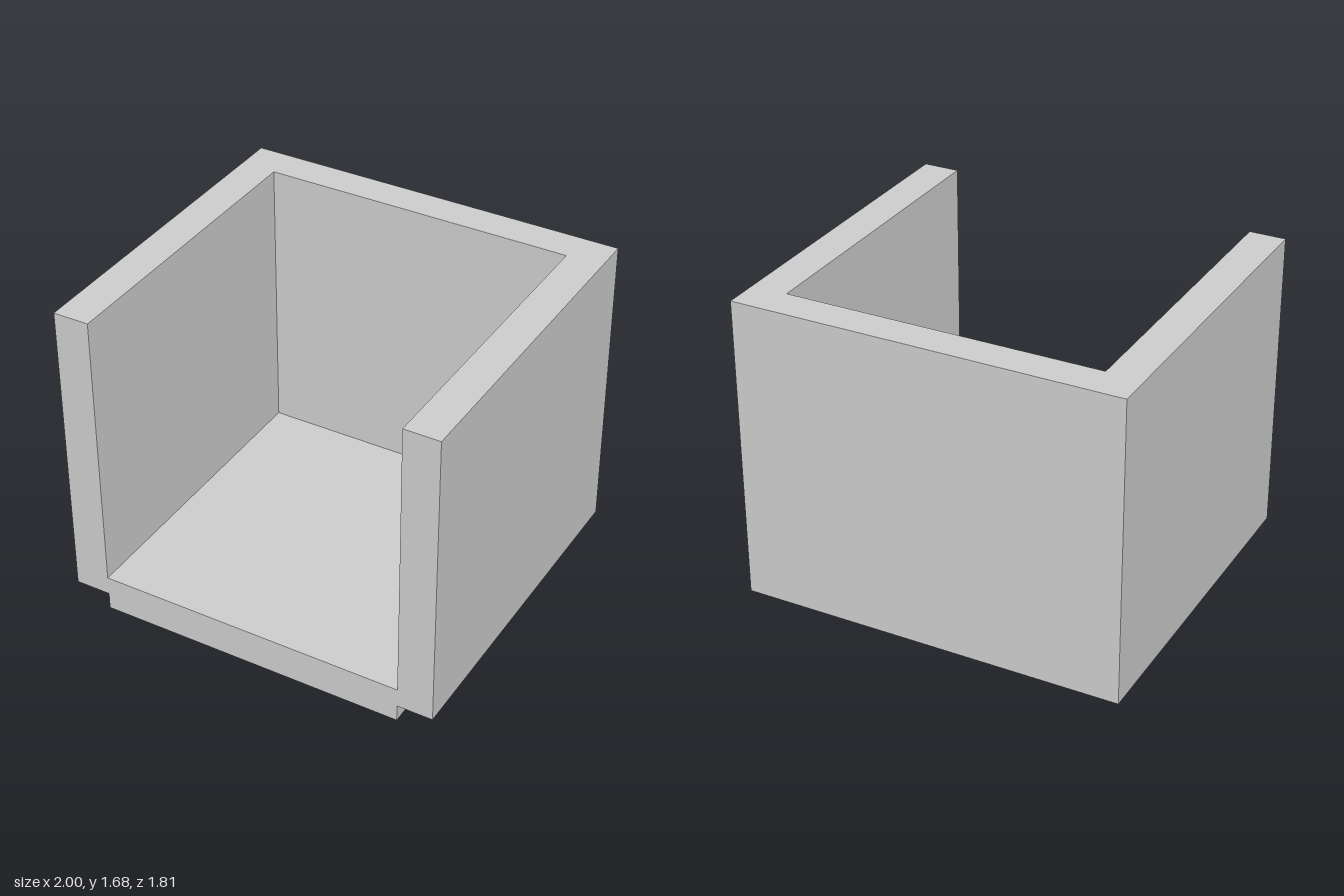
import * as THREE from 'three';

export function createModel() {
  const group = new THREE.Group();
  const material = new THREE.MeshStandardMaterial({ color: 0xcccccc, flatShading: true });

  const halfWidth = 1, halfDepth = 0.903;
  const innerX = 0.813, innerBack = 0.72;
  const wallBottom = 0.09, wallTop = 1.68, floorTop = 0.19;

  // U-shaped plan of the two side walls and the back wall, open at the front
  const plan = new THREE.Shape([
    [-halfWidth, -halfDepth], [-innerX, -halfDepth], [-innerX, innerBack], [innerX, innerBack],
    [innerX, -halfDepth], [halfWidth, -halfDepth], [halfWidth, halfDepth], [-halfWidth, halfDepth],
  ].map(([x, y]) => new THREE.Vector2(x, y)));
  const wallGeometry = new THREE.ExtrudeGeometry(plan, { depth: wallTop - wallBottom, bevelEnabled: false });
  wallGeometry.rotateX(-Math.PI / 2);
  const walls = new THREE.Mesh(wallGeometry, material);
  walls.name = 'walls';
  walls.position.y = wallBottom;
  group.add(walls);

  // Floor slab between the walls, reaching below them as a plinth
  const floor = new THREE.Mesh(
    new THREE.BoxGeometry(2 * innerX, floorTop, halfDepth + innerBack), material);
  floor.name = 'floor';
  floor.position.set(0, floorTop / 2, (halfDepth - innerBack) / 2);
  group.add(floor);

  return group;
}
